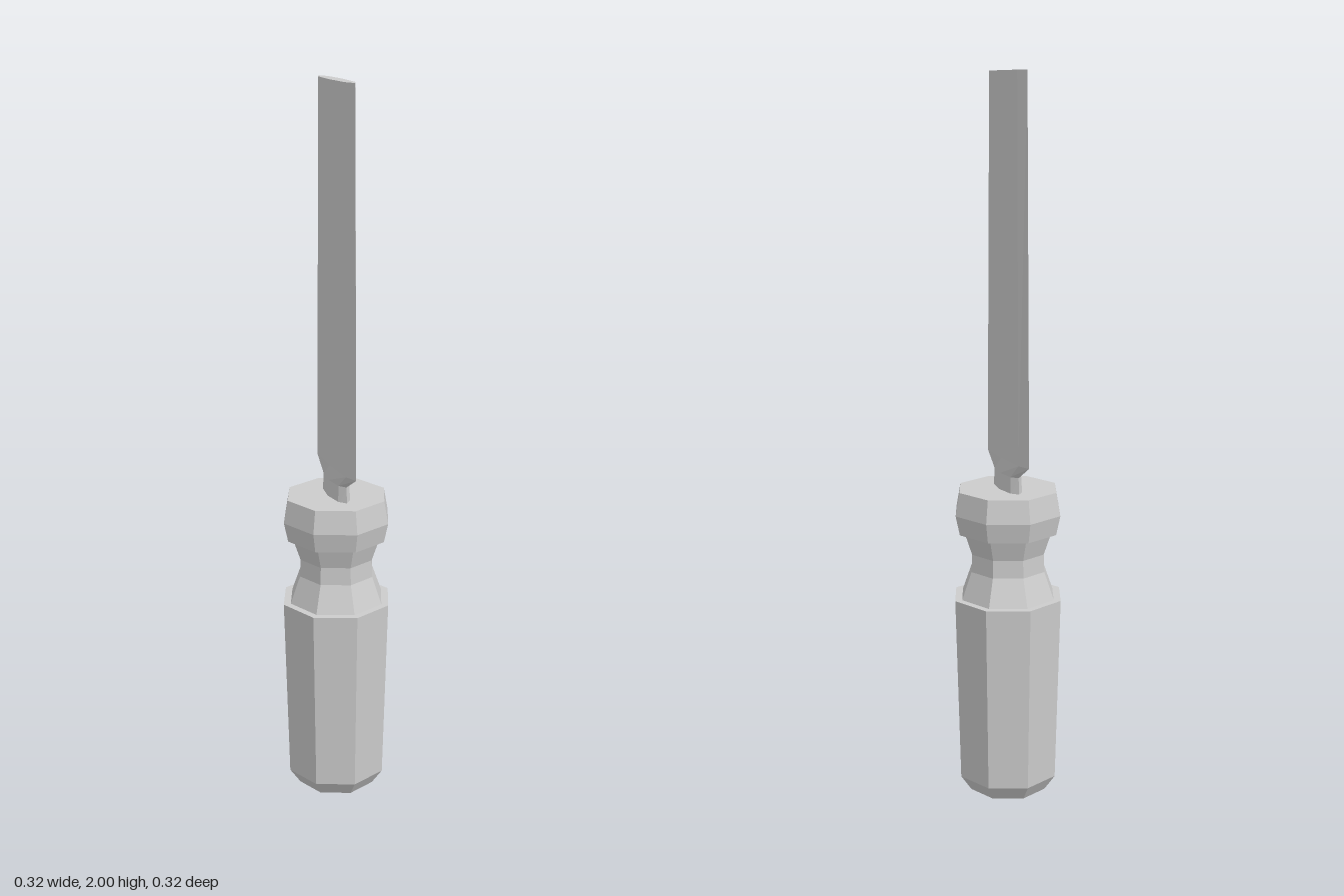
import * as THREE from 'three';

const material = new THREE.MeshStandardMaterial({ color: 0xcccccc, flatShading: true });

// Eight-sided turned part from [radius, height] pairs, listed bottom to top
function turned(name, profile) {
  const points = profile.map(([r, y]) => new THREE.Vector2(r, y));
  const mesh = new THREE.Mesh(new THREE.LatheGeometry(points, 8), material);
  mesh.name = name;
  return mesh;
}

// Lens-shaped cross-section: half width w along z, half thickness b in the middle, a near the edges
function lensRing({ y, w, a, b }) {
  const s = 0.74 * w;
  return [[0, w], [a, s], [b, 0], [a, -s], [0, -w], [-a, -s], [-b, 0], [-a, s]]
    .map(([x, z]) => [x, y, z]);
}

// Skin consecutive rings and close both ends
function loft(name, rings) {
  const verts = [];
  const tri = (...corners) => corners.forEach((c) => verts.push(...c));
  const n = rings[0].length;
  const last = rings.length - 1;
  for (let i = 0; i < n; i++) {
    const j = (i + 1) % n;
    for (let k = 0; k < last; k++) {
      const lo = rings[k], hi = rings[k + 1];
      tri(lo[i], lo[j], hi[j]);
      tri(lo[i], hi[j], hi[i]);
    }
    tri([0, rings[last][0][1], 0], rings[last][i], rings[last][j]);
    tri([0, rings[0][0][1], 0], rings[0][j], rings[0][i]);
  }
  const geometry = new THREE.BufferGeometry();
  geometry.setAttribute('position', new THREE.Float32BufferAttribute(verts, 3));
  geometry.computeVertexNormals();
  const mesh = new THREE.Mesh(geometry, material);
  mesh.name = name;
  return mesh;
}

export function createModel() {
  const model = new THREE.Group();
  model.name = 'chisel';

  // Handle: tapered grip, pinched neck and bevelled collar
  model.add(turned('grip', [[0, 0], [0.113, 0], [0.144, 0.045], [0.158, 0.572], [0, 0.572]]));
  model.add(turned('neck', [[0.138, 0.57], [0.109, 0.65], [0.107, 0.7], [0.129, 0.765]]));
  model.add(turned('collar', [[0, 0.76], [0.143, 0.76], [0.155, 0.815], [0.143, 0.88], [0, 0.88]]));

  // Blade: tang flaring out into a long, slightly tapering lens section
  model.add(loft('blade', [
    { y: 0.87, w: 0.08, a: 0.018, b: 0.027 },
    { y: 0.925, w: 0.075, a: 0.016, b: 0.023 },
    { y: 0.967, w: 0.145, a: 0.015, b: 0.02 },
    { y: 2, w: 0.127, a: 0.014, b: 0.019 },
  ].map(lensRing)));

  return model;
}
